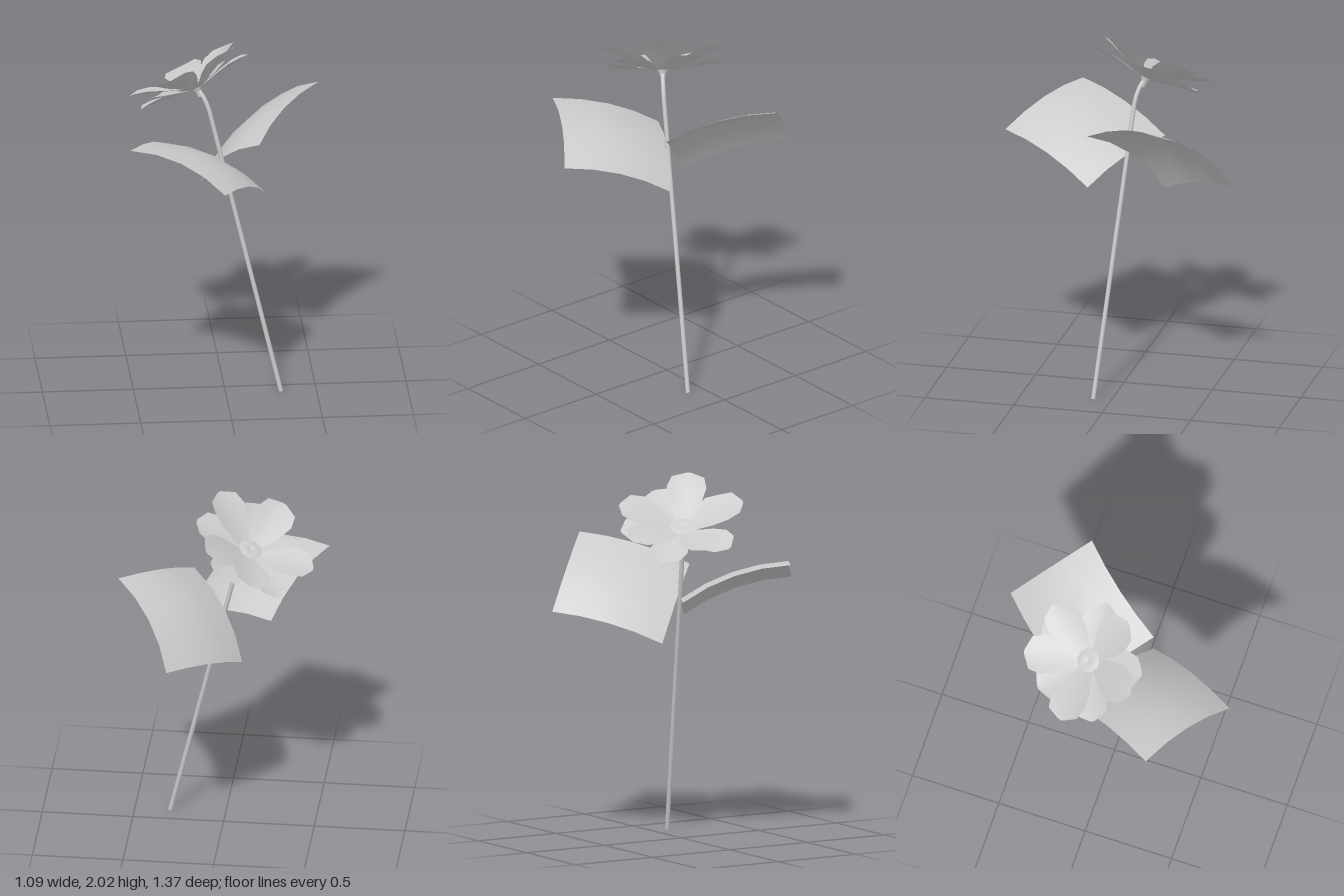
import * as THREE from 'three';

const V = (x, y, z) => new THREE.Vector3(x, y, z);
const thin = new THREE.MeshStandardMaterial({ color: 0xcccccc, side: THREE.DoubleSide });
const solid = new THREE.MeshStandardMaterial({ color: 0xcccccc });

function named(name, geometry, material) {
  const mesh = new THREE.Mesh(geometry, material);
  mesh.name = name;
  return mesh;
}

// Grid surface: fn(u, v) gives the point for u, v in 0..1
function surface(fn, nu, nv) {
  const g = new THREE.PlaneGeometry(1, 1, nu, nv);
  const p = g.attributes.position;
  for (let i = 0; i < p.count; i++) {
    const q = fn(p.getX(i) + 0.5, p.getY(i) + 0.5);
    p.setXYZ(i, q.x, q.y, q.z);
  }
  g.computeVertexNormals();
  return g;
}

// Leaf: a parallelogram panel (tip corner, second tip corner, base corner) bowed both ways
function leaf(name, tipA, tipB, baseB, bowWidth, bowLength) {
  const across = tipB.clone().sub(tipA);
  const along = baseB.clone().sub(tipB);
  const normal = across.clone().cross(along).normalize();
  if (normal.y < 0) normal.negate();
  return named(name, surface((u, v) => tipA.clone()
    .addScaledVector(across, u)
    .addScaledVector(along, 1 - v)
    .addScaledVector(normal, 4 * bowWidth * u * (1 - u) + 4 * bowLength * v * (1 - v)), 4, 4), thin);
}

// Petal rows: distance from centre, half width, rise as a share of the tip height
const petalRows = [
  [0.02, 0.022, 0], [0.09, 0.055, 0.22], [0.16, 0.09, 0.46],
  [0.24, 0.11, 0.72], [0.31, 0.09, 0.92], [0.35, 0.012, 1],
];

function petal(name, angle, base, rise, scale) {
  const last = petalRows.length - 1;
  const g = surface((u, v) => {
    const [r, w, h] = petalRows[Math.round(v * last)];
    const s = 2 * u - 1;
    const cup = 1.6 * (w * s) ** 2;
    return V(r * scale, base + h * rise + cup, -s * w * scale);
  }, 4, last);
  const mesh = named(name, g, thin);
  mesh.rotation.y = -THREE.MathUtils.degToRad(angle);
  return mesh;
}

export function createModel() {
  const model = new THREE.Group();
  model.name = 'flower';

  // Stem: long and straight, bending over just below the bloom
  const path = new THREE.CurvePath();
  const foot = V(0.304, 0.003, 0.098), bend = V(-0.075, 1.6, -0.04);
  const centre = V(-0.145, 1.73, -0.088);
  path.add(new THREE.LineCurve3(foot, bend));
  path.add(new THREE.QuadraticBezierCurve3(bend, V(-0.1, 1.695, -0.053), centre));
  const stem = new THREE.Group();
  stem.name = 'stem';
  stem.add(named('stemTube', new THREE.TubeGeometry(path, 60, 0.0125, 8), solid));
  const cap = named('stemFoot', new THREE.CircleGeometry(0.0125, 8), solid);
  cap.position.copy(foot);
  cap.lookAt(foot.clone().multiplyScalar(2).sub(bend));
  stem.add(cap);
  model.add(stem);

  // Two broad leaves on opposite sides of the stem
  model.add(leaf('frontLeaf', V(-0.545, 1.555, 0.365), V(-0.05, 1.4, 0.682), V(0.215, 1.2, 0.152), 0.055, 0.045));
  model.add(leaf('backLeaf', V(0.24, 1.28, -0.685), V(0.545, 1.655, -0.318), V(0.18, 1.485, 0.165), 0.058, 0.04));

  // Bloom: tilted group whose y runs along the flower's axis
  const bloom = new THREE.Group();
  bloom.name = 'bloom';
  const axis = V(-0.42, 0.85, -0.3).normalize();
  const side = V(-0.81, 0, -0.58).cross(V(0, 1, 0)).normalize();
  const lean = axis.clone().cross(side).normalize();
  bloom.quaternion.setFromRotationMatrix(new THREE.Matrix4().makeBasis(lean, axis, side));
  bloom.position.copy(centre);

  [48, 102, 184, 252, 331].forEach((a, i) => bloom.add(petal('innerPetal' + (i + 1), a, 0.008, 0.115, 1)));
  [14, 80, 150, 233, 305].forEach((a, i) => bloom.add(petal('outerPetal' + (i + 1), a, 0.002, 0.04, 0.96)));

  // Flared receptacle under the petals
  const flare = [[0.0125, -0.05], [0.015, -0.03], [0.022, -0.012], [0.036, 0.006]];
  bloom.add(named('receptacle', new THREE.LatheGeometry(flare.map(p => new THREE.Vector2(...p)), 12), thin));

  // Shallow dimpled disc at the heart of the flower
  const disc = [[0.068, 0.034], [0.045, 0.04], [0.022, 0.04], [0.001, 0.032]];
  bloom.add(named('flowerHeart', new THREE.LatheGeometry(disc.map(p => new THREE.Vector2(...p)), 9), thin));
  model.add(bloom);

  return model;
}
